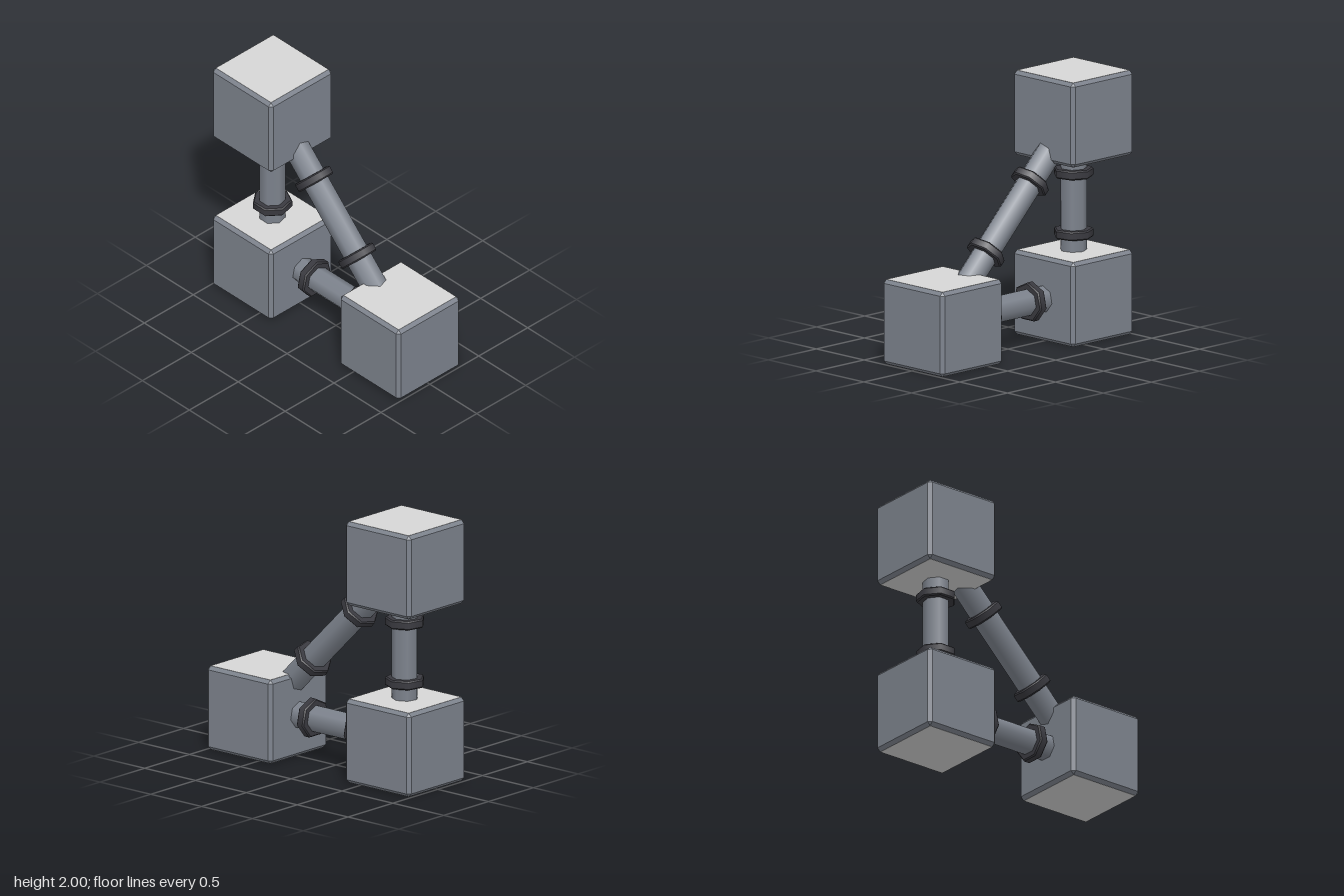
import * as THREE from 'three';
import { ConvexGeometry } from 'three/addons/geometries/ConvexGeometry.js';

const steel = new THREE.MeshStandardMaterial({ name: 'blue grey steel', color: 0x7d838d });
const pale = new THREE.MeshStandardMaterial({ name: 'pale grey', color: 0xd6d6d6 });
const dark = new THREE.MeshStandardMaterial({ name: 'dark collar', color: 0x3a3a40 });

const HALF = 0.32;    // half of a block's side
const BEVEL = 0.026;
const SIDES = 7;      // facets of struts and collars

function addMesh(parent, name, geometry, material) {
  const mesh = new THREE.Mesh(geometry, material);
  mesh.name = name;
  parent.add(mesh);
  return mesh;
}

// Chamfered cube with pale top and bottom faces
function createBlock(name, y, z) {
  const block = new THREE.Group();
  block.name = name;
  block.position.set(0, y, z);
  const inner = HALF - BEVEL;
  const points = [];
  for (const sx of [-1, 1]) for (const sy of [-1, 1]) for (const sz of [-1, 1]) {
    points.push(
      new THREE.Vector3(sx * HALF, sy * inner, sz * inner),
      new THREE.Vector3(sx * inner, sy * HALF, sz * inner),
      new THREE.Vector3(sx * inner, sy * inner, sz * HALF));
  }
  addMesh(block, 'blockBody', new ConvexGeometry(points), steel);
  for (const s of [-1, 1]) {
    const plate = new THREE.BoxGeometry(inner * 2, 0.004, inner * 2);
    addMesh(block, s > 0 ? 'topFace' : 'bottomFace', plate, pale).position.y = s * (HALF - 0.001);
  }
  return block;
}

// Seven-sided collar with bevelled rims; repeated points keep its edges sharp
function collarGeometry(turn) {
  const r = 0.15, h = 0.034, b = 0.01;
  const corners = [[r - b, -h], [r, -h + b], [r, h - b], [r - b, h]];
  const profile = [[0.05, -h], ...corners.flatMap((c) => [c, c]), [0.05, h]];
  return new THREE.LatheGeometry(profile.map(([x, y]) => new THREE.Vector2(x, y)), SIDES, turn);
}

// Strut along its local y axis with two collars, tilted about x
function createStrut(name, y, z, length, spacing, tilt, turn) {
  const strut = new THREE.Group();
  strut.name = name;
  strut.position.set(0, y, z);
  strut.rotation.x = tilt;
  addMesh(strut, 'tube', new THREE.CylinderGeometry(0.1, 0.1, length, SIDES, 1, false, turn), steel);
  for (const s of [-1, 1]) {
    addMesh(strut, s < 0 ? 'lowerCollar' : 'upperCollar', collarGeometry(turn), dark).position.y = s * spacing;
  }
  return strut;
}

export function createModel() {
  const model = new THREE.Group();
  model.name = 'linkedBlocks';
  const reach = 1 - HALF;
  model.add(
    createBlock('frontBlock', HALF, reach),
    createBlock('rearBlock', HALF, -reach),
    createBlock('upperBlock', 2 - HALF, -reach),
    createStrut('verticalStrut', 1, -reach, 0.9, 0.23, 0, Math.PI / 2),
    createStrut('horizontalStrut', HALF, 0, 0.9, 0.23, -Math.PI / 2, 0),
    createStrut('diagonalStrut', 1, 0, 1.6, 0.23 * Math.SQRT2, -Math.PI / 4, Math.PI / 2));
  return model;
}
